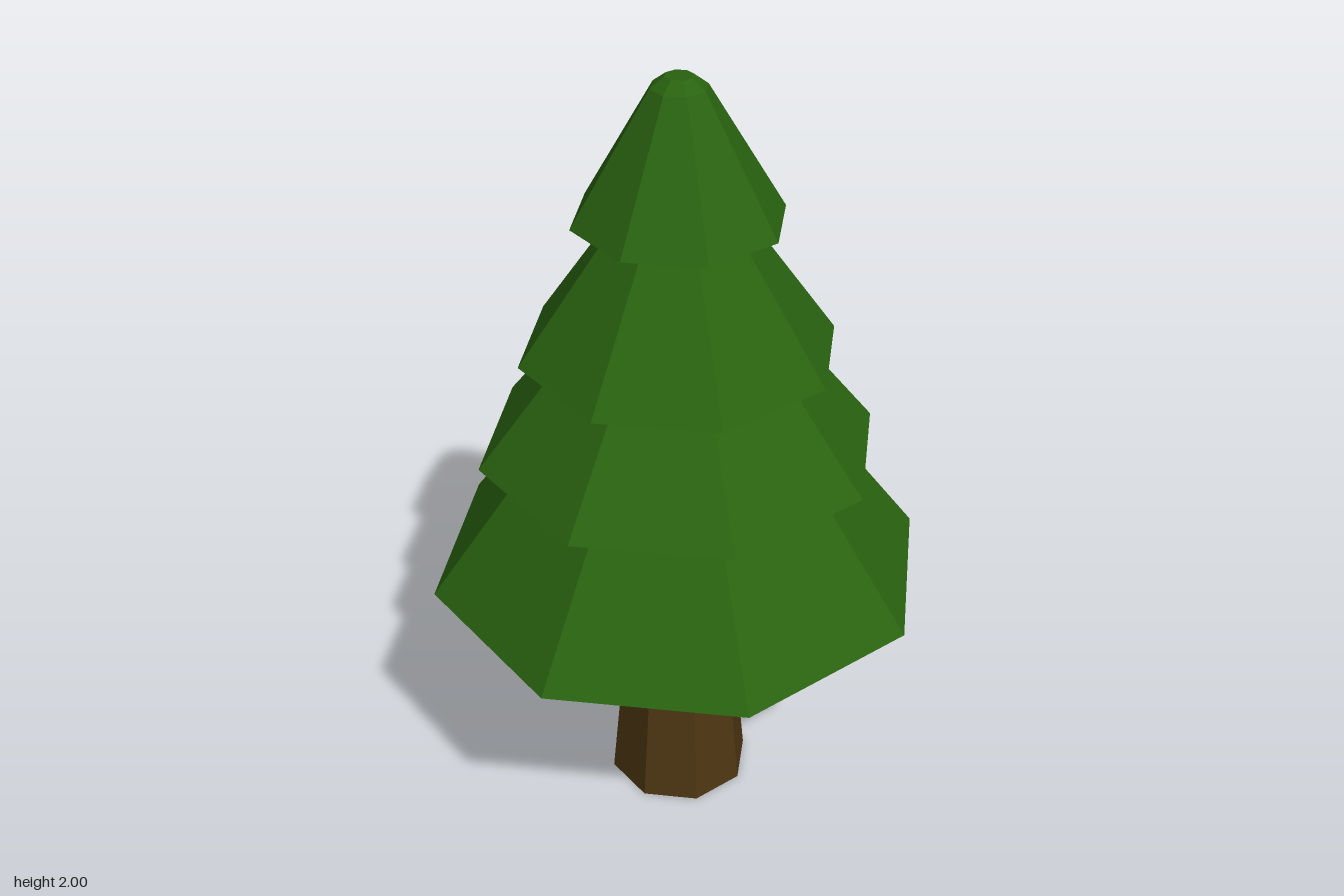
import * as THREE from 'three';

const SIDES = 8;

// Faceted eight-sided frustum standing on yBottom
function frustum(name, material, yBottom, yTop, rBottom, rTop) {
  const height = yTop - yBottom;
  const geometry = new THREE.CylinderGeometry(rTop, rBottom, height, SIDES).toNonIndexed();
  geometry.computeVertexNormals();
  const mesh = new THREE.Mesh(geometry, material);
  mesh.name = name;
  mesh.position.y = yBottom + height / 2;
  return mesh;
}

export function createModel() {
  const needleGreen = new THREE.MeshStandardMaterial({ color: 0x296310 });
  needleGreen.name = 'needleGreen';
  const barkBrown = new THREE.MeshStandardMaterial({ color: 0x4e3612 });
  barkBrown.name = 'barkBrown';

  const tree = new THREE.Group();
  tree.name = 'pineTree';

  // Tapered trunk
  tree.add(frustum('trunk', barkBrown, 0, 0.695, 0.187, 0.122));

  // Foliage tiers, bottom to top: yBottom, yTop, rBottom, rTop
  const foliage = new THREE.Group();
  foliage.name = 'foliage';
  [
    [0.695, 1.05, 0.635, 0.373],
    [1.05, 1.32, 0.5, 0.287],
    [1.32, 1.66, 0.39, 0.152],
    [1.66, 1.975, 0.255, 0.067],
  ].forEach((tier, i) => foliage.add(frustum(`foliageTier${i + 1}`, needleGreen, ...tier)));

  // Blunt tip
  foliage.add(frustum('treeTip', needleGreen, 1.975, 2, 0.067, 0.034));
  tree.add(foliage);

  return tree;
}
